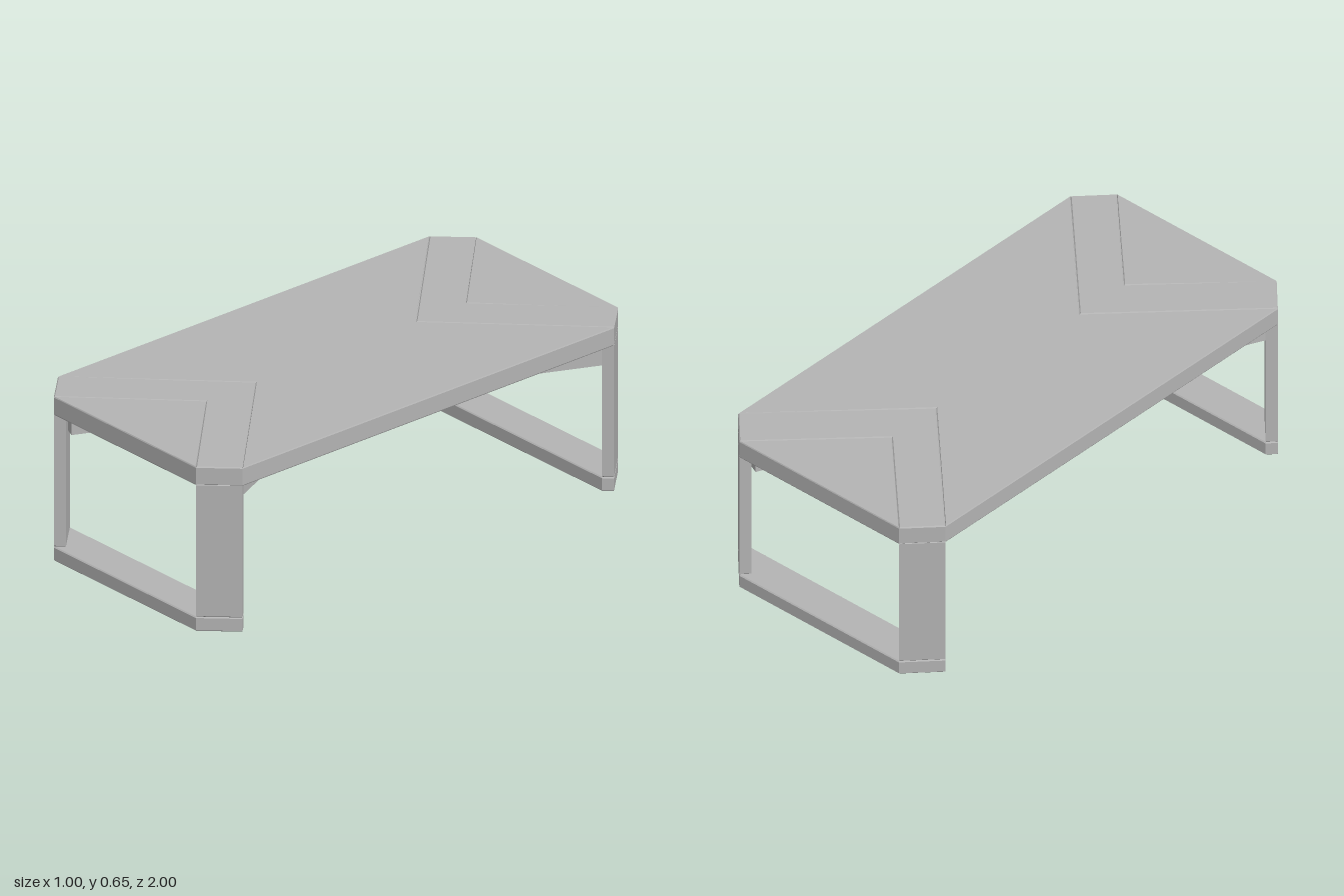
import * as THREE from 'three';

const BEVEL = 0.004;

// Upright prism with softened edges from a plan outline of [x, z] points
function slab(name, plan, y0, y1, material) {
  const shape = new THREE.Shape(plan.map(([x, z]) => new THREE.Vector2(x, -z)));
  const geometry = new THREE.ExtrudeGeometry(shape, {
    depth: y1 - y0 - 2 * BEVEL,
    bevelEnabled: true,
    bevelThickness: BEVEL,
    bevelSize: BEVEL,
    bevelOffset: -BEVEL,
    bevelSegments: 1,
  });
  geometry.rotateX(-Math.PI / 2);
  geometry.translate(0, y0 + BEVEL, 0);
  const mesh = new THREE.Mesh(geometry, material);
  mesh.name = name;
  return mesh;
}

export function createModel() {
  const grey = new THREE.MeshStandardMaterial({ color: 0xb4b4b4 });
  grey.name = 'grey';

  const table = new THREE.Group();
  table.name = 'table';

  const top = 0.65, under = 0.577, foot = 0.056;

  // Main panel, notched at both ends for the chevrons
  table.add(slab('topPanel', [
    [0.5, 0.88], [0, 0.38], [-0.5, 0.88],
    [-0.5, -0.88], [0, -0.38], [0.5, -0.88],
  ], under, top, grey));

  for (const s of [1, -1]) {
    const end = s > 0 ? 'front' : 'back';

    // Triangular end panel and the chevron band around it
    table.add(slab(end + 'EndPanel',
      [[-0.385, s], [0.385, s], [0, 0.615 * s]], under, top, grey));
    table.add(slab(end + 'Chevron', [
      [-0.5, 0.88 * s], [-0.385, s], [0, 0.615 * s],
      [0.385, s], [0.5, 0.88 * s], [0, 0.38 * s],
    ], under, top, grey));

    // Floor runner with chamfered outer corners
    table.add(slab(end + 'Runner', [
      [-0.5, 0.88 * s], [-0.385, s], [0.385, s],
      [0.5, 0.88 * s], [0.47, 0.848 * s], [-0.47, 0.848 * s],
    ], 0, foot, grey));

    // Flat legs set diagonally across the corners
    for (const m of [1, -1]) {
      table.add(slab(end + (m > 0 ? 'Left' : 'Right') + 'Leg', [
        [0.5 * m, 0.88 * s], [0.385 * m, s],
        [0.355 * m, 0.968 * s], [0.47 * m, 0.848 * s],
      ], foot, under + BEVEL, grey));
    }
  }

  // Crossed beams between opposite legs
  const endX = 0.41, endZ = 0.91;
  for (const m of [1, -1]) {
    const beam = new THREE.Mesh(
      new THREE.BoxGeometry(0.08, under - 0.478 + BEVEL, 2 * Math.hypot(endX, endZ)), grey);
    beam.name = m > 0 ? 'crossBeamA' : 'crossBeamB';
    beam.position.y = (under + BEVEL + 0.478) / 2;
    beam.rotation.y = m * Math.atan2(endX, endZ);
    table.add(beam);
  }

  return table;
}
